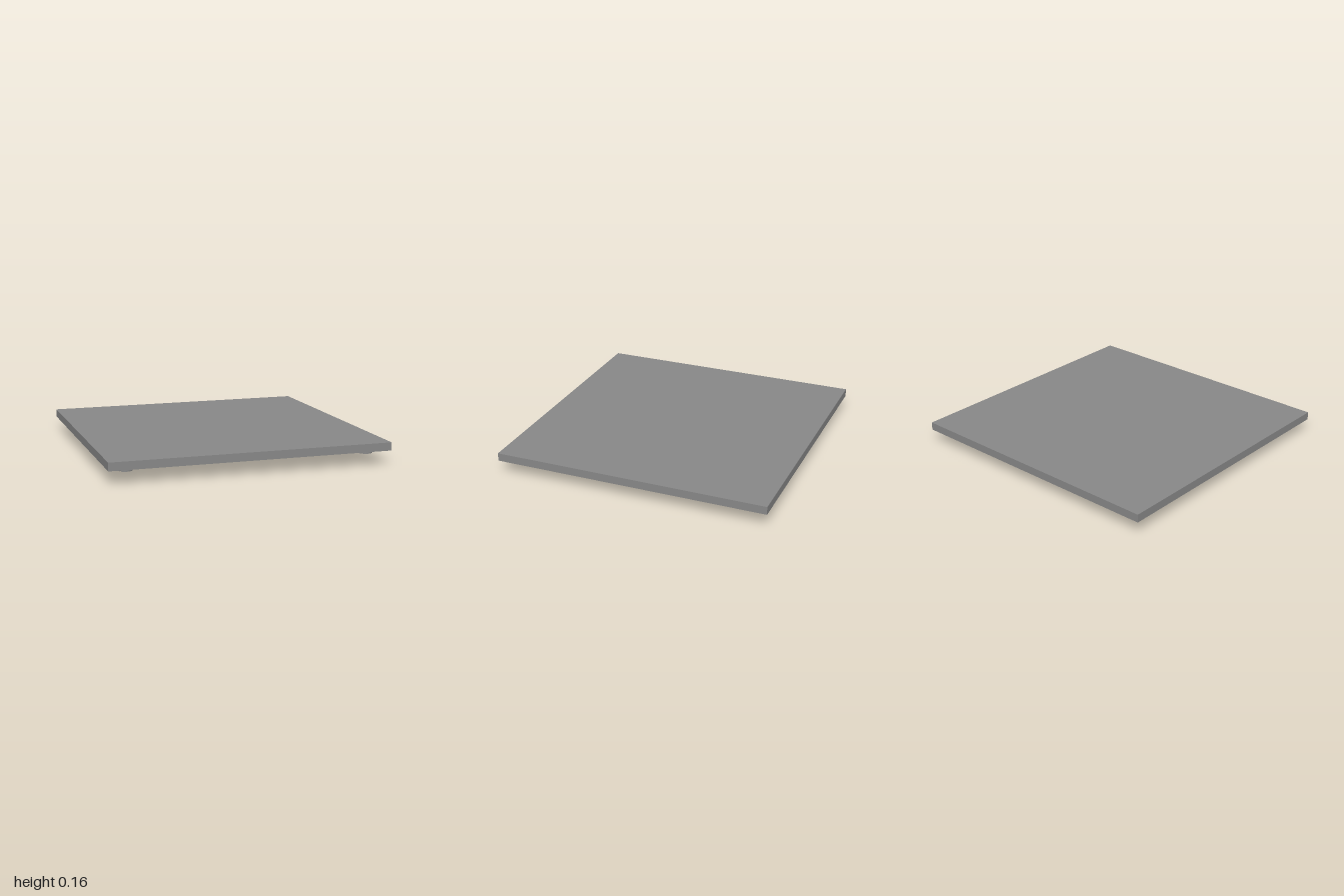
import * as THREE from 'three';

const mat = new THREE.MeshStandardMaterial({ color: 0x888888, side: THREE.DoubleSide });
const UNDER = 0.099, TOP = 0.157, SKIN = 0.015, DEPTH = 0.995;
const R = 0.075, HALF = 0.785;                  // louvre width and half length of its straight run
const LOUVRES = [0.472, 0.16, -0.237, -0.548];  // z of each open edge

function add(parent, geometry, name) {
  const mesh = new THREE.Mesh(geometry, mat);
  mesh.name = name;
  parent.add(mesh);
  return mesh;
}

// Flat shape in x/z, extruded upwards from y = 0
function slab(shape, depth) {
  const g = new THREE.ExtrudeGeometry(shape, { depth, bevelEnabled: false, curveSegments: 16 });
  return g.rotateX(Math.PI / 2).translate(0, depth, 0);
}

// Lower layer of the plate, with a rounded recess at each louvre
function skinShape() {
  const corners = [[-1, -DEPTH], [1, -DEPTH], [1, DEPTH], [-1, DEPTH]];
  const s = new THREE.Shape(corners.map(p => new THREE.Vector2(...p)));
  for (const z of LOUVRES) {
    const h = new THREE.Path();
    h.absarc(HALF, z, R, -Math.PI / 2, Math.PI / 2, false);
    h.absarc(-HALF, z, R, Math.PI / 2, Math.PI * 1.5, false);
    h.closePath();
    s.holes.push(h);
  }
  return s;
}

// Half-stadium hood, curving in from the plate to a straight lip, open towards -z
function hoodGeometry() {
  const profile = [[R, UNDER], [R, 0.05], [0.068, 0.041], [0.055, 0.03], [0.035, 0.018], [0.016, 0.0095], [0, 0.0035]];
  const n = 10, pos = [], index = [], cols = 2 * (n + 1);
  for (const [r, y] of profile) {
    const rx = 0.2 * R + 0.8 * r; // the ends slope in less than the front
    for (let side = 0; side < 2; side++) {
      for (let i = 0; i <= n; i++) {
        const a = (side + i / n) * Math.PI / 2;
        pos.push((side ? -HALF : HALF) + rx * Math.cos(a), y, r * Math.sin(a));
      }
    }
  }
  for (let j = 0; j < profile.length - 1; j++) {
    for (let i = 0; i < cols - 1; i++) {
      const a = j * cols + i, b = a + cols;
      index.push(a, a + 1, b, a + 1, b + 1, b);
    }
  }
  const g = new THREE.BufferGeometry();
  g.setAttribute('position', new THREE.Float32BufferAttribute(pos, 3));
  g.setIndex(index);
  g.computeVertexNormals();
  return g;
}

// Round screw head with a slot across its lower face
function screw(angle) {
  const group = new THREE.Group(), r = 0.05, w = 0.008, height = 0.032, cut = 0.013, a = Math.asin(w / r);
  group.name = 'screw';
  add(group, new THREE.CylinderGeometry(r, r, height - cut, 32), 'screwHead').position.y = (cut + height) / 2;
  for (const turn of [0, Math.PI]) {
    const half = new THREE.Shape();
    half.absarc(0, 0, r, turn + a, turn + Math.PI - a, false);
    half.closePath();
    add(group, slab(half, cut), 'screwHeadHalf');
  }
  group.rotation.y = angle;
  return group;
}

export function createModel() {
  const model = new THREE.Group();
  model.name = 'ventCover';
  const body = new THREE.Group();
  body.name = 'coverBody';
  body.rotation.z = 0.0036; // slight lean
  model.add(body);

  // Plate
  const h = TOP - UNDER - SKIN;
  add(body, new THREE.BoxGeometry(2, h, 2 * DEPTH), 'plate').position.y = TOP - h / 2;
  add(body, slab(skinShape(), SKIN), 'plateUnderside').position.y = UNDER;

  // Louvres
  const hood = hoodGeometry();
  for (const z of LOUVRES) add(body, hood, 'louvre').position.z = z;

  // Corner screws
  for (const [x, z, angle] of [[0.86, 0.864, 0], [-0.86, 0.864, 0.6], [0.86, -0.838, 0.9], [-0.86, -0.838, -0.5]]) {
    const s = screw(angle);
    s.position.set(x, 0.068, z);
    body.add(s);
  }
  return model;
}
